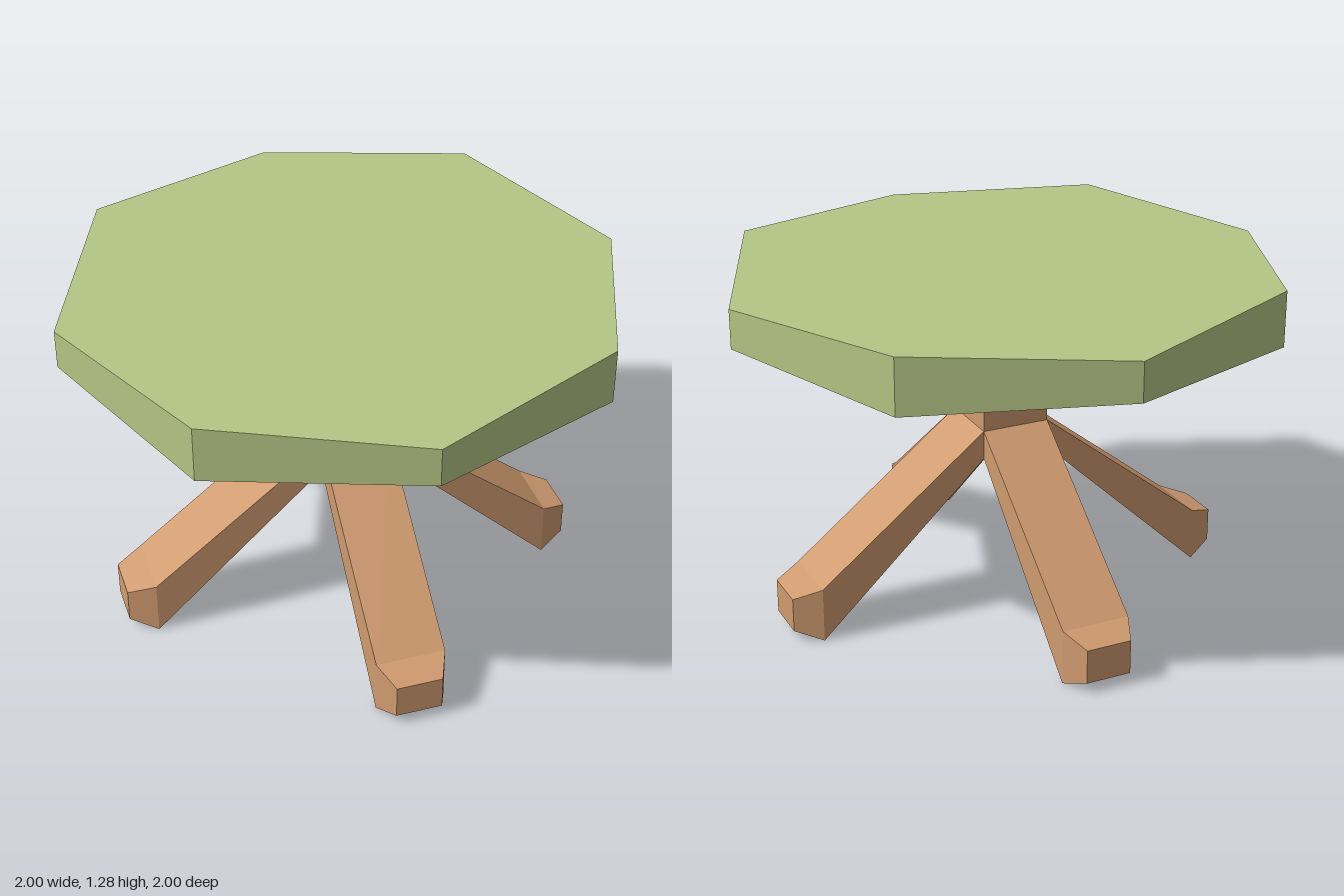
import * as THREE from 'three';

const green = new THREE.MeshStandardMaterial({ color: 0xb5c584 });
green.name = 'green top';
const wood = new THREE.MeshStandardMaterial({ color: 0xd09b70 });
wood.name = 'brown wood';

function part(name, geometry, material) {
  const mesh = new THREE.Mesh(geometry, material);
  mesh.name = name;
  return mesh;
}

// Corners on the axes are thinner than the diagonal corners
function halfThickness(x, z) {
  if (Math.hypot(x, z) < 0.5) return 0.085;
  return Math.abs(x * z) > 0.1 ? 0.1 : 0.07;
}

const TOP_Y = 1.18;

// Move the rim up or down, keeping the normals
function warp(geometry, side) {
  const p = geometry.attributes.position;
  for (let i = 0; i < p.count; i++) {
    const s = side || Math.sign(p.getY(i));
    p.setY(i, TOP_Y + s * halfThickness(p.getX(i), p.getZ(i)));
  }
  return geometry;
}

function tableTop() {
  const group = new THREE.Group();
  group.name = 'tableTop';
  const rim = warp(new THREE.CylinderGeometry(1, 1, 1, 8, 1, true), 0).toNonIndexed();
  rim.computeVertexNormals();
  group.add(
    part('topRim', rim, green),
    part('topSurface', warp(new THREE.CircleGeometry(1, 8).rotateX(-Math.PI / 2), 1), green),
    part('topUnderside', warp(new THREE.CircleGeometry(1, 8).rotateX(Math.PI / 2), -1), green)
  );
  return group;
}

// Leg lofted along +z through rectangular sections: z, bottom, top, half width
function legGeometry() {
  const rings = [
    [0.125, 0.585, 0.69, 0.125],
    [0.75, 0, 0.2, 0.125],
    [0.848, 0.04, 0.165, 0.083],
  ].map(([z, lo, hi, w]) => [[-w, lo, z], [w, lo, z], [w, hi, z], [-w, hi, z]]);
  const pos = [];
  const quad = (a, b, c, d) => pos.push(...a, ...b, ...c, ...a, ...c, ...d);
  for (let r = 0; r < 2; r++) {
    for (let i = 0; i < 4; i++) {
      const j = (i + 1) % 4;
      quad(rings[r][i], rings[r][j], rings[r + 1][j], rings[r + 1][i]);
    }
  }
  quad(...rings[2]);
  const g = new THREE.BufferGeometry();
  g.setAttribute('position', new THREE.Float32BufferAttribute(pos, 3));
  g.computeVertexNormals();
  return g;
}

export function createModel() {
  const model = new THREE.Group();
  model.name = 'table';
  model.add(tableTop());

  // Post with four legs, set slightly forward
  const base = new THREE.Group();
  base.name = 'base';
  base.position.z = 0.025;
  const post = part('post', new THREE.BoxGeometry(0.25, 0.51, 0.25), wood);
  post.position.y = 0.585 + 0.255;
  base.add(post);
  const leg = legGeometry();
  ['frontLeg', 'leftLeg', 'backLeg', 'rightLeg'].forEach((name, i) => {
    const mesh = part(name, leg, wood);
    mesh.rotation.y = (i * Math.PI) / 2;
    base.add(mesh);
  });
  model.add(base);
  return model;
}
